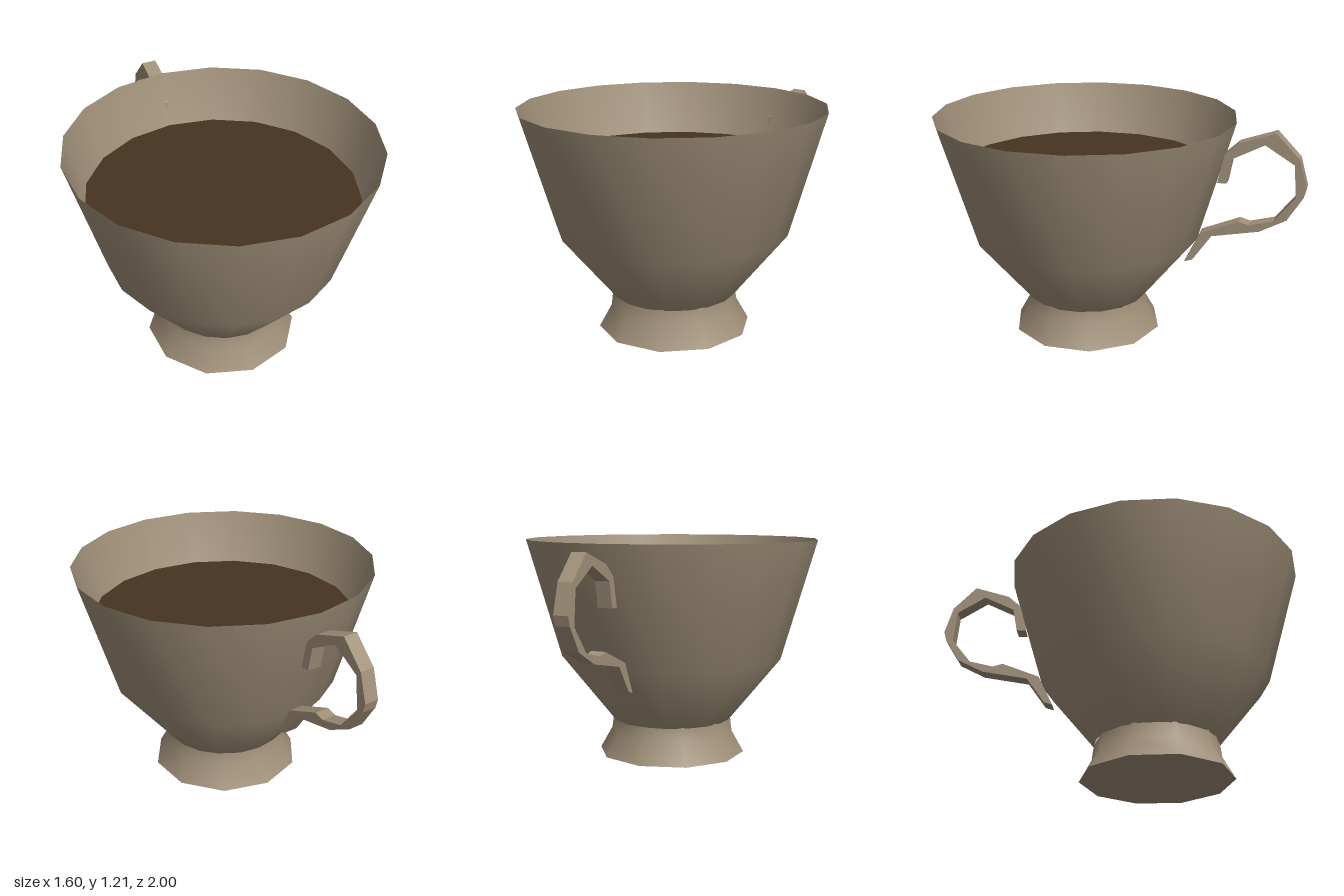
import * as THREE from 'three';

const CENTER_Z = 0.19; // the bowl sits forward of the origin, the handle behind it

export function createModel() {
  const group = new THREE.Group();
  const china = new THREE.MeshStandardMaterial({ name: 'beige china', color: 0xa09079, side: THREE.DoubleSide });
  const coffee = new THREE.MeshStandardMaterial({ name: 'dark coffee', color: 0x473420 });

  const add = (name, geometry, material, y = 0, z = CENTER_Z) => {
    const mesh = new THREE.Mesh(geometry, material);
    mesh.name = name;
    mesh.position.set(0, y, z);
    group.add(mesh);
  };
  const lathe = (profile, sides) =>
    new THREE.LatheGeometry(profile.map(([r, y]) => new THREE.Vector2(r, y)), sides);

  // Bowl: thin open wall with a bend at mid height
  add('bowl', lathe([[0.333, 0.2], [0.62, 0.555], [0.81, 1.21]], 18), china);

  // Ten-sided flared foot with a short neck, and its flat underside
  add('foot', lathe([[0.412, 0.005], [0.345, 0.125], [0.335, 0.205]], 10), china);
  const base = new THREE.CircleGeometry(0.412, 10, Math.PI / 2);
  base.rotateX(Math.PI / 2);
  add('footBase', base, china, 0.005);

  // Coffee surface
  const surface = new THREE.CircleGeometry(0.714, 18, Math.PI / 2);
  surface.rotateX(-Math.PI / 2);
  add('coffeeSurface', surface, coffee, 0.925);

  // Handle: angular ear outline as [distance behind origin, height]
  const outer = [[0.535, 0.895], [0.57, 1.05], [0.64, 1.115], [0.83, 1.18], [0.955, 1.05],
    [0.998, 0.9], [0.985, 0.85], [0.905, 0.72], [0.765, 0.645], [0.515, 0.595], [0.415, 0.45]];
  const inner = [[0.37, 0.435], [0.45, 0.605], [0.655, 0.69], [0.71, 0.675], [0.84, 0.71],
    [0.945, 0.845], [0.93, 1.02], [0.775, 1.115], [0.61, 1.03], [0.585, 0.895]];
  const outline = new THREE.Shape([...outer, ...inner].map(([x, y]) => new THREE.Vector2(x, y)));
  const ear = new THREE.ExtrudeGeometry(outline, { depth: 0.08, bevelEnabled: false });
  ear.translate(0, 0, -0.04);
  ear.rotateY(Math.PI / 2);
  add('handle', ear, china, 0, 0);

  return group;
}
